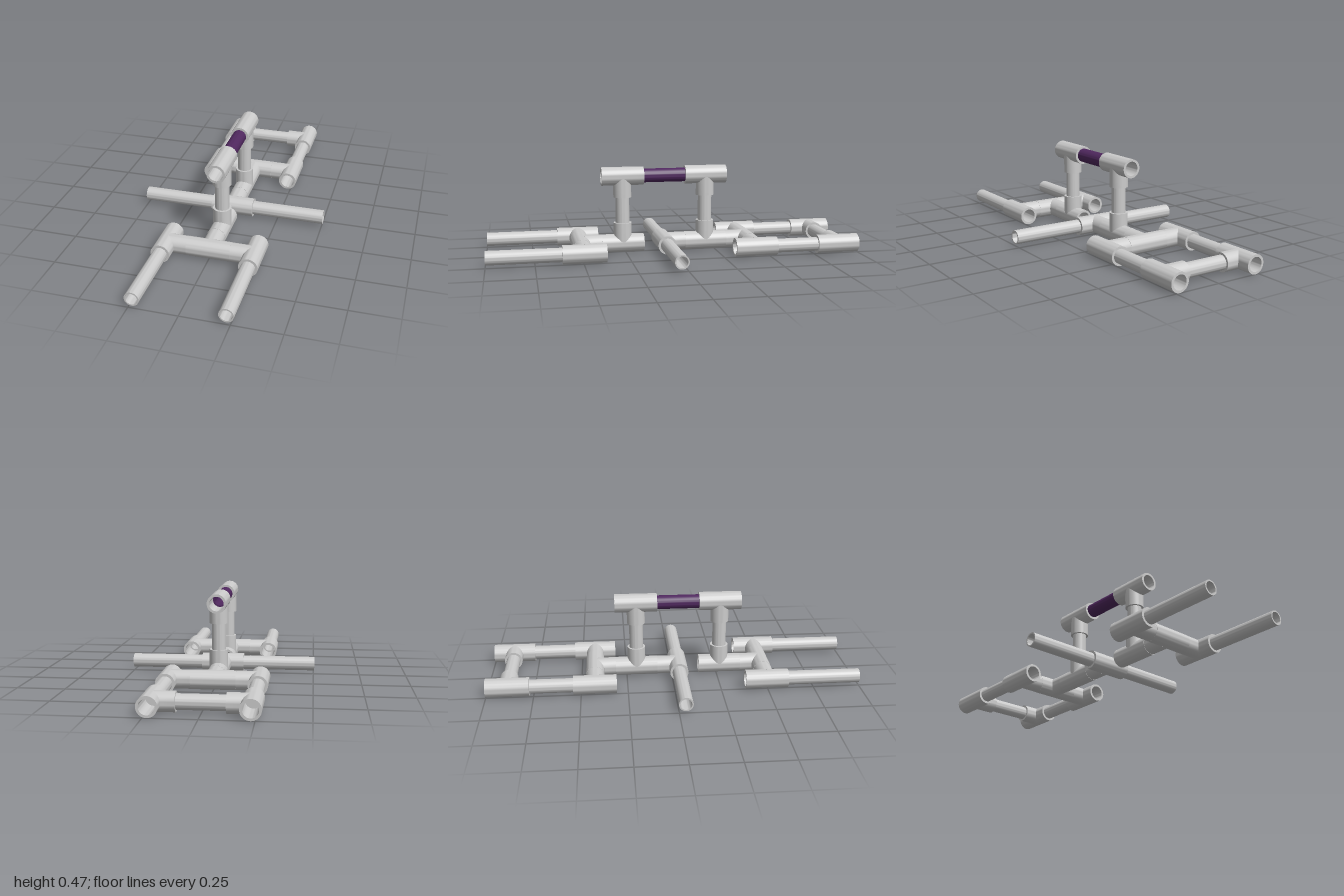
import * as THREE from 'three';
import { toCreasedNormals } from 'three/addons/utils/BufferGeometryUtils.js';

const PIPE = 0.0375, BORE = 0.03;   // pipe outer and inner radius
const TEE = 0.05, BRANCH = 0.049;   // fitting run and branch radius
const HALF = 0.115;                 // fitting centre to each mouth
const SOCKET = 0.06;                // how far a pipe sits in a fitting
const LOW = 0.05, HIGH = 0.42;      // heights of the two pipe levels
const SIDE = 0.23;                  // sideways offset of the rails

const X = new THREE.Vector3(1, 0, 0), Y = new THREE.Vector3(0, 1, 0), Z = new THREE.Vector3(0, 0, 1);

// Tube along +z starting at z = 0; inner = 0 gives a solid rod
function tubeGeometry(outer, inner, length) {
  const shape = new THREE.Shape().absarc(0, 0, outer, 0, Math.PI * 2);
  if (inner > 0) shape.holes.push(new THREE.Path().absarc(0, 0, inner, 0, Math.PI * 2, true));
  return new THREE.ExtrudeGeometry(shape, { depth: length, bevelEnabled: false, curveSegments: 20 });
}

// Run along z, shared by all fittings
function runGeometry() {
  return toCreasedNormals(tubeGeometry(TEE, PIPE, 2 * HALF).translate(0, 0, -HALF), 0.6);
}

// Branch along y, its foot shaped to saddle the run
function branchGeometry() {
  const geo = tubeGeometry(BRANCH, PIPE, HALF);
  const p = geo.attributes.position;
  for (let i = 0; i < p.count; i++) {
    if (p.getZ(i) < 1e-6) p.setZ(i, Math.sqrt(Math.max(0, TEE * TEE - p.getX(i) ** 2)));
  }
  return toCreasedNormals(geo.rotateX(-Math.PI / 2), 0.6);
}

export function createModel() {
  const model = new THREE.Group();
  model.name = 'pipeFrame';
  const grey = new THREE.MeshStandardMaterial({ color: 0xcccccc });
  const purple = new THREE.MeshStandardMaterial({ color: 0x50285f });
  const run = runGeometry(), branch = branchGeometry();

  function tee(name, x, y, z, runDir, branchDir) {
    const group = new THREE.Group();
    group.name = name;
    const runMesh = new THREE.Mesh(run, grey);
    runMesh.name = 'run';
    const branchMesh = new THREE.Mesh(branch, grey);
    branchMesh.name = 'branch';
    group.add(runMesh, branchMesh);
    const across = new THREE.Vector3().crossVectors(branchDir, runDir);
    group.quaternion.setFromRotationMatrix(new THREE.Matrix4().makeBasis(across, branchDir, runDir));
    group.position.set(x, y, z);
    model.add(group);
  }

  function pipe(name, from, to, material = grey, inner = BORE) {
    const a = new THREE.Vector3(...from), b = new THREE.Vector3(...to);
    const geo = toCreasedNormals(tubeGeometry(PIPE, inner, a.distanceTo(b)), 0.6);
    const mesh = new THREE.Mesh(geo, material);
    mesh.name = name;
    mesh.position.copy(a);
    mesh.quaternion.setFromUnitVectors(Z, b.sub(a).normalize());
    model.add(mesh);
  }

  const back = Z.clone().negate(), down = Y.clone().negate();
  const frontZ = 0.495, middleZ = 0.035, rearZ = -0.425, endZ = -0.885;
  const inset = HALF - SOCKET;

  // Spine fittings
  tee('frontCrossTee', 0, LOW, frontZ, X, back);
  tee('middleCrossTee', 0, LOW, middleZ, X, back);
  tee('rearCrossTee', 0, LOW, rearZ, X, Z);

  // Uprights carrying the handle
  for (const [end, z] of [['front', 0.265], ['rear', -0.195]]) {
    tee(end + 'LowerTee', 0, LOW, z, Z, Y);
    tee(end + 'UpperTee', 0, HIGH, z, Z, down);
    pipe(end + 'Upright', [0, LOW + inset, z], [0, HIGH - inset, z]);
  }
  pipe('handle', [0, HIGH, -0.195 + inset], [0, HIGH, 0.265 - inset], purple);

  // Side fittings, rails and arms
  for (const [side, s] of [['left', 1], ['right', -1]]) {
    const inward = new THREE.Vector3(-s, 0, 0);
    tee(side + 'FrontTee', s * SIDE, LOW, frontZ, Z, inward);
    tee(side + 'RearTee', s * SIDE, LOW, rearZ, Z, inward);
    tee(side + 'EndTee', s * SIDE, LOW, endZ, Z, inward);
    pipe(side + 'FrontProng', [s * SIDE, LOW, frontZ + inset], [s * SIDE, LOW, 1]);
    pipe(side + 'RearRail', [s * SIDE, LOW, endZ + inset], [s * SIDE, LOW, rearZ - inset], grey, 0);
    pipe(side + 'Arm', [s * inset, LOW, middleZ], [s * 0.505, LOW, middleZ]);
  }

  // Bar closing the rear frame
  pipe('endCrossbar', [-SIDE + inset, LOW, endZ], [SIDE - inset, LOW, endZ]);

  return model;
}
